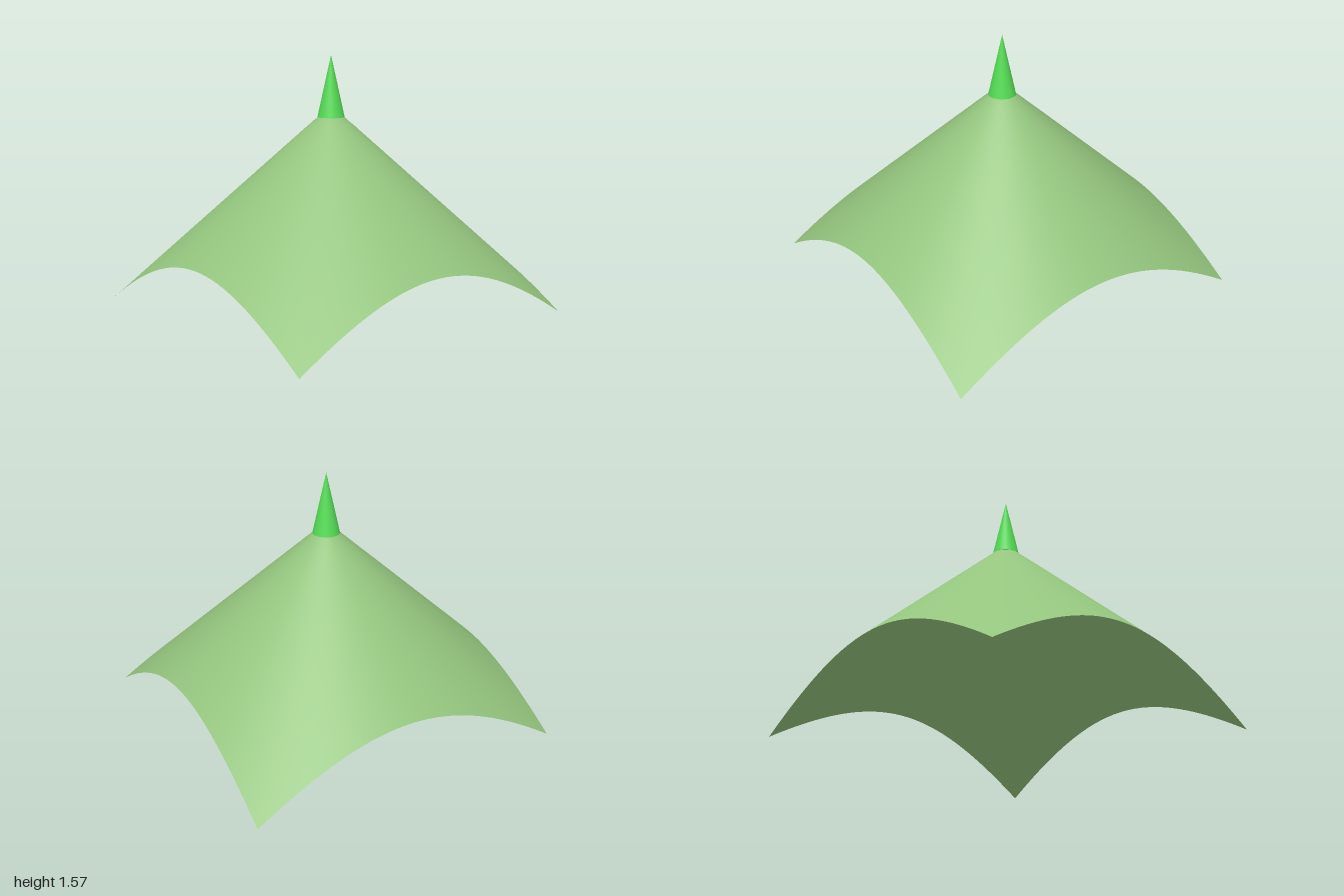
import * as THREE from 'three';

const PEAK = 1.265; // height of the canopy at its centre
const SLOPE = PEAK / Math.SQRT2; // falls to zero at the four corners

export function createModel() {
  const model = new THREE.Group();

  // Canopy: a square sheet lifted into a cone, so each edge becomes an arch
  const sheet = new THREE.PlaneGeometry(2, 2, 50, 50).rotateX(-Math.PI / 2);
  const pos = sheet.attributes.position;
  for (let i = 0; i < pos.count; i++) {
    pos.setY(i, PEAK - SLOPE * Math.hypot(pos.getX(i), pos.getZ(i)));
  }
  sheet.computeVertexNormals();
  const canopy = new THREE.Mesh(
    sheet,
    new THREE.MeshStandardMaterial({ color: 0x93c47d, side: THREE.DoubleSide })
  );
  canopy.name = 'canopy';
  model.add(canopy);

  // Spire: slim cone seated on the peak
  const base = 1.19, tip = 1.57;
  const spire = new THREE.Mesh(
    new THREE.ConeGeometry(0.084, tip - base, 32),
    new THREE.MeshStandardMaterial({ color: 0x55dd55 })
  );
  spire.position.y = (base + tip) / 2;
  spire.name = 'spire';
  model.add(spire);

  return model;
}
